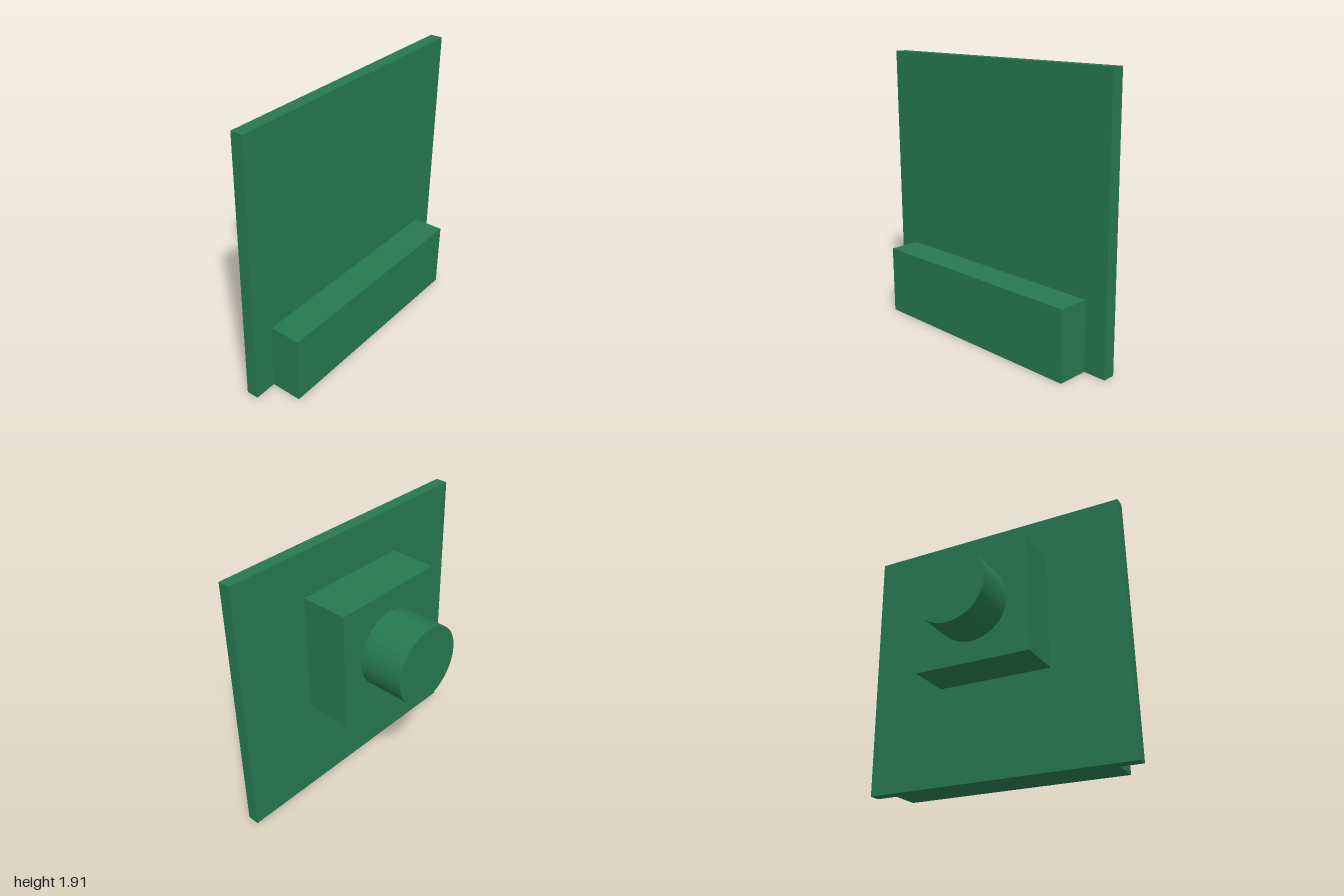
import * as THREE from 'three';

export function createModel() {
  const group = new THREE.Group();
  const green = new THREE.MeshStandardMaterial({ color: 0x26784e });
  green.name = 'board green';

  // Box given by its width, vertical range and depth range, centred on x = 0
  const addBox = (name, width, y0, y1, z0, z1) => {
    const mesh = new THREE.Mesh(new THREE.BoxGeometry(width, y1 - y0, z1 - z0), green);
    mesh.position.set(0, (y0 + y1) / 2, (z0 + z1) / 2);
    mesh.name = name;
    group.add(mesh);
  };

  addBox('board', 2, 0, 1.912, 0.18, 0.267);
  addBox('connector', 1.676, 0, 0.484, 0.267, 0.487);
  addBox('lensHousing', 0.864, 0.722, 1.586, -0.159, 0.18);

  // Round lens barrel pointing to the back
  const barrel = new THREE.Mesh(new THREE.CylinderGeometry(0.277, 0.277, 0.328, 64), green);
  barrel.rotation.x = Math.PI / 2;
  barrel.position.set(0, 1.154, -0.323);
  barrel.name = 'lensBarrel';
  group.add(barrel);

  return group;
}
